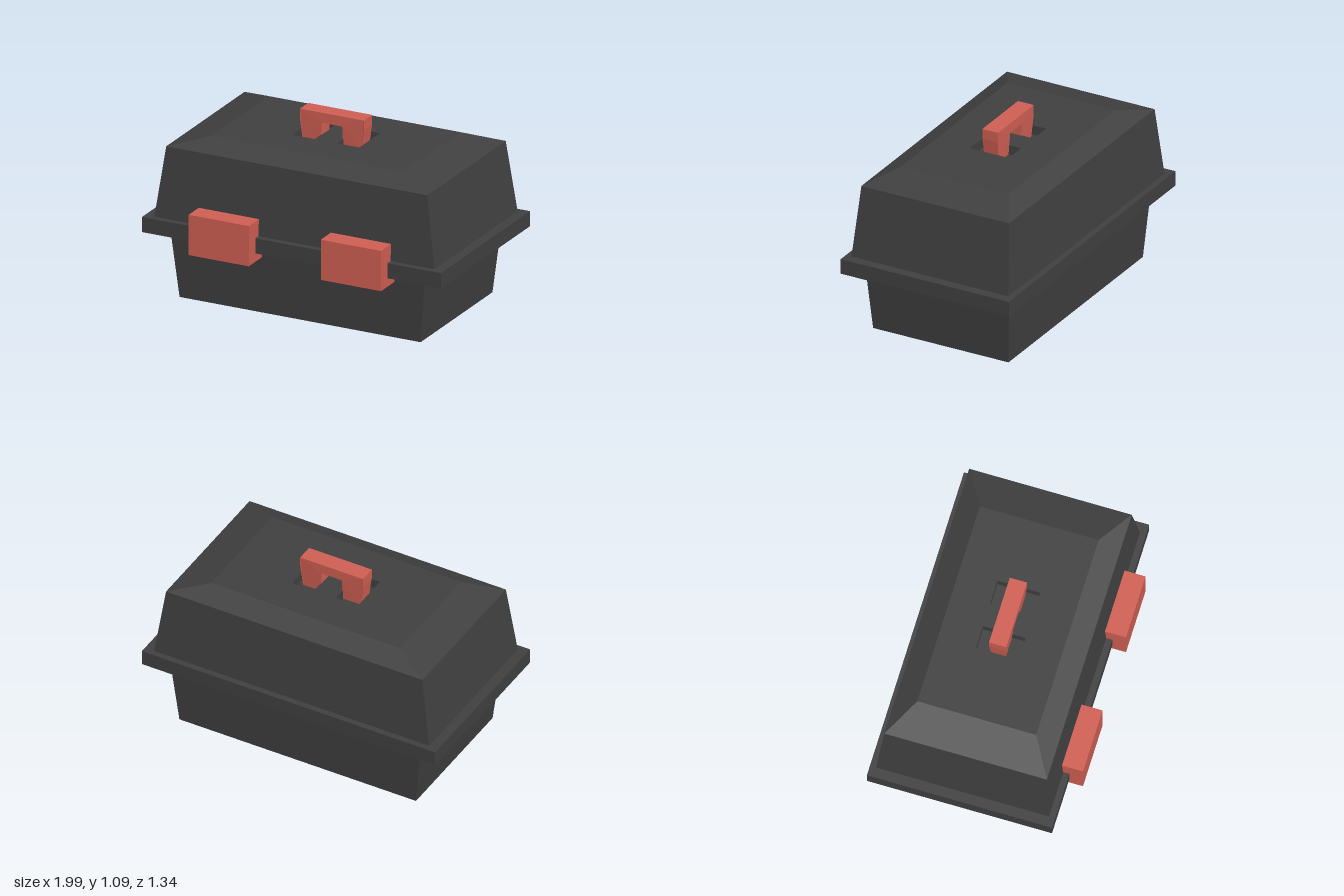
import * as THREE from 'three';

const dark = new THREE.MeshStandardMaterial({ color: 0x404040, flatShading: true });
const red = new THREE.MeshStandardMaterial({ color: 0xd05f53, flatShading: true });

// Stack of rectangles [y, halfWidth, halfDepth] joined by flat sides
function taperedShell(levels, capTop, capBottom) {
  const pos = [];
  const quad = (a, b, c, d) => pos.push(...a, ...b, ...c, ...a, ...c, ...d);
  const rings = levels.map(([y, w, d]) => [[-w, y, d], [w, y, d], [w, y, -d], [-w, y, -d]]);
  for (let i = 0; i < rings.length - 1; i++) {
    const lo = rings[i], hi = rings[i + 1];
    for (let k = 0; k < 4; k++) {
      const n = (k + 1) % 4;
      quad(lo[k], lo[n], hi[n], hi[k]);
    }
  }
  if (capTop) quad(...rings[rings.length - 1]);
  if (capBottom) quad(...[...rings[0]].reverse());
  const geo = new THREE.BufferGeometry();
  geo.setAttribute('position', new THREE.Float32BufferAttribute(pos, 3));
  geo.computeVertexNormals();
  return geo;
}

function rectangle(path, cx, w, d) {
  path.moveTo(cx - w, -d);
  path.lineTo(cx + w, -d);
  path.lineTo(cx + w, d);
  path.lineTo(cx - w, d);
  path.closePath();
  return path;
}

export function createModel() {
  const box = new THREE.Group();
  box.name = 'toolbox';
  const add = (name, geo, mat, x = 0, y = 0, z = 0) => {
    const mesh = new THREE.Mesh(geo, mat);
    mesh.name = name;
    mesh.position.set(x, y, z);
    box.add(mesh);
    return mesh;
  };

  // Body, rim and lid sides
  add('base', taperedShell([[0, 0.755, 0.433], [0.39, 0.797, 0.459]], true, true), dark);
  add('rim', new THREE.BoxGeometry(1.872, 0.09, 1.075), dark, 0, 0.435, 0);
  add('lid', taperedShell([[0.48, 0.877, 0.502], [0.90, 0.818, 0.472], [0.957, 0.602, 0.345]], false, false), dark);

  // Lid top with two handle recesses and their floor
  const top = rectangle(new THREE.Shape(), 0, 0.602, 0.345);
  for (const s of [-1, 1]) top.holes.push(rectangle(new THREE.Path(), s * 0.14, 0.07, 0.124));
  const topGeo = new THREE.ExtrudeGeometry(top, { depth: 0.057, bevelEnabled: false });
  topGeo.rotateX(-Math.PI / 2);
  add('lidTop', topGeo, dark, 0, 0.90, 0);
  add('recessFloor', new THREE.BoxGeometry(0.5, 0.02, 0.3), dark, 0, 0.89, 0);

  // Handle: a bridge whose legs narrow towards the recesses
  const bridge = new THREE.Shape();
  [[-0.185, 0.9], [-0.065, 0.9], [-0.065, 1.03], [0.065, 1.03], [0.065, 0.9],
    [0.185, 0.9], [0.2, 1.03], [0.2, 1.09], [-0.2, 1.09], [-0.2, 1.03]]
    .forEach(([x, y], i) => (i ? bridge.lineTo(x, y) : bridge.moveTo(x, y)));
  const handleGeo = new THREE.ExtrudeGeometry(bridge, { depth: 0.1, bevelEnabled: false });
  handleGeo.translate(0, 0, -0.05);
  const p = handleGeo.attributes.position;
  for (let i = 0; i < p.count; i++) if (p.getY(i) < 1) p.setZ(i, p.getZ(i) * 0.88);
  handleGeo.computeVertexNormals();
  add('handle', handleGeo, red);

  // Front latches, sunk into lid and base
  for (const s of [-1, 1]) {
    add(s > 0 ? 'leftLatch' : 'rightLatch', new THREE.BoxGeometry(0.377, 0.24, 0.177), red, s * 0.414, 0.46, 0.5285);
  }

  // The box sits slightly turned
  box.rotation.y = 0.1285;
  box.position.z = -0.02;
  const model = new THREE.Group();
  model.name = 'model';
  model.add(box);
  return model;
}
